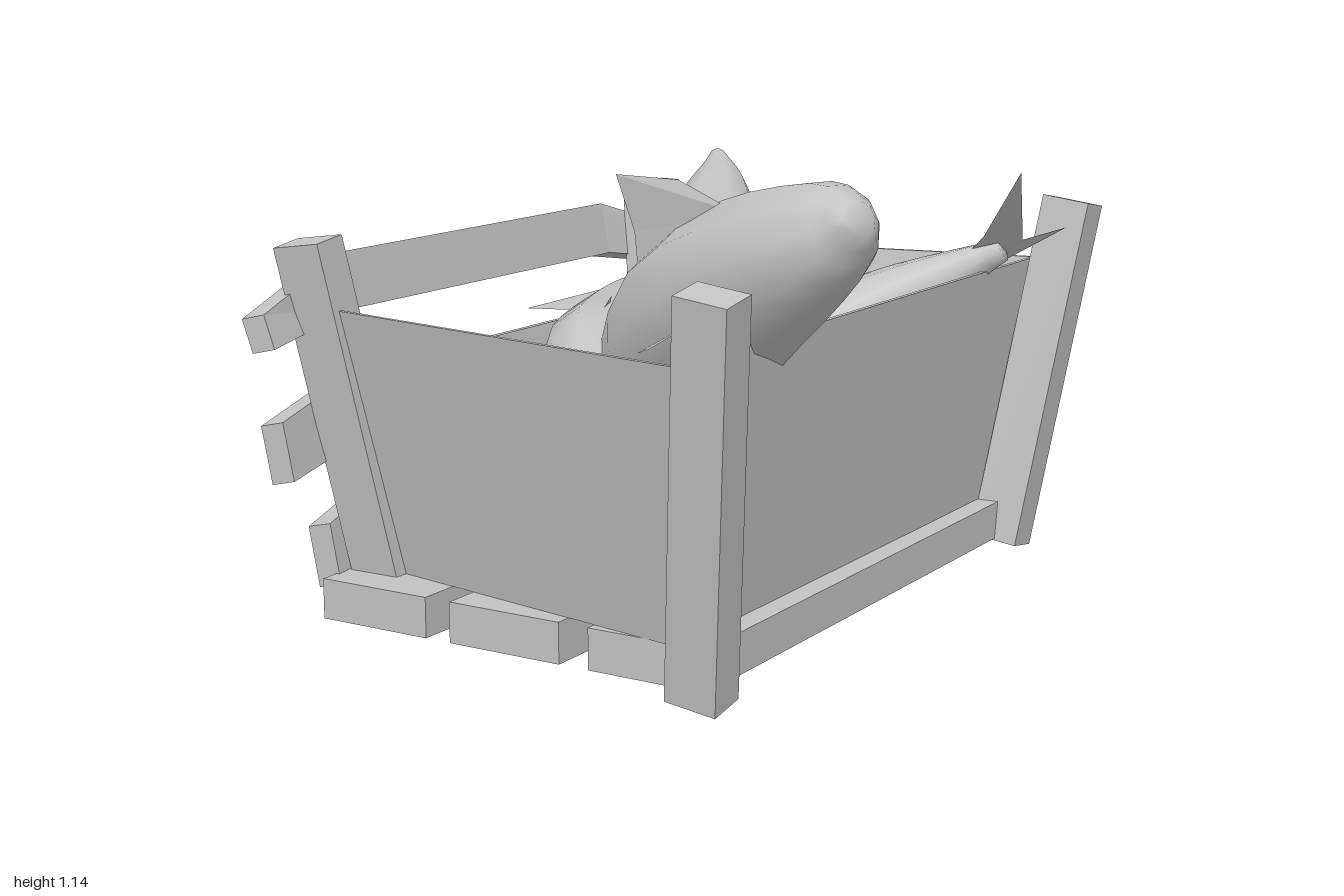
import * as THREE from 'three';

const V = (p) => new THREE.Vector3(p[0], p[1], p[2]);
const grey = new THREE.MeshStandardMaterial({ color: 0xc2c2c2, side: THREE.DoubleSide });
grey.name = 'plain grey';

function part(parent, name, geometry) {
  const mesh = new THREE.Mesh(geometry, grey);
  mesh.name = name;
  parent.add(mesh);
  return mesh;
}

// Skin a row of equal-sized rings and close both ends
function loft(rings, smooth) {
  const n = rings[0].length, last = (rings.length - 1) * n, index = [];
  for (let r = 0; r < rings.length - 1; r++) {
    for (let i = 0; i < n; i++) {
      const a = r * n + i, b = r * n + (i + 1) % n;
      index.push(a, b, b + n, a, b + n, a + n);
    }
  }
  for (let i = 1; i < n - 1; i++) index.push(0, i + 1, i, last, last + i, last + i + 1);
  let g = new THREE.BufferGeometry();
  g.setAttribute('position', new THREE.Float32BufferAttribute(rings.flat(2), 3));
  g.setIndex(index);
  if (!smooth) g = g.toNonIndexed();
  g.computeVertexNormals();
  return g;
}

const CORNERS = [[1, 1], [1, -1], [-1, -1], [-1, 1]];

// Leaning post, its ends cut square to its length
function post(bottom, top, w, d) {
  const h = top[1] - bottom[1];
  const lx = (top[0] - bottom[0]) / h, lz = (top[2] - bottom[2]) / h;
  return loft([bottom, top].map((c) => CORNERS.map(([sx, sz]) => {
    const dx = sx * w / 2, dz = sz * d / 2;
    return [c[0] + dx, c[1] - dx * lx - dz * lz, c[2] + dz];
  })));
}

// Bent rail running along z; stations are [x, y, z, height]
function rail(stations) {
  return loft(stations.map(([x, y, z, h]) =>
    [[1, -1], [1, 1], [-1, 1], [-1, -1]].map(([sx, sy]) =>
      [x + sx * 0.034 - sy * 0.015, y + sy * h / 2 + sx * 0.008, z])));
}

// Thin fin as a fan of points
function fin(points) {
  const index = [];
  for (let i = 1; i < points.length - 1; i++) index.push(0, i, i + 1);
  const g = new THREE.BufferGeometry();
  g.setAttribute('position', new THREE.Float32BufferAttribute(points.flat(), 3));
  g.setIndex(index);
  const flat = g.toNonIndexed();
  flat.computeVertexNormals();
  return flat;
}

// Fish body along stations [x, y, z, half height, half width], plus fins
function fish(parent, name, stations, fins) {
  const group = new THREE.Group();
  group.name = name;
  const spine = new THREE.CatmullRomCurve3(stations.map(V));
  const girth = new THREE.CatmullRomCurve3(stations.map((s) => new THREE.Vector3(s[3], s[4], 0)));
  const rings = [], steps = 16, sides = 10, up = new THREE.Vector3(0, 1, 0);
  for (let k = 0; k <= steps; k++) {
    const c = spine.getPoint(k / steps), t = spine.getTangent(k / steps);
    const g = girth.getPoint(k / steps);
    const side = up.clone().cross(t).normalize(), top = t.clone().cross(side);
    const ring = [];
    for (let i = 0; i < sides; i++) {
      const a = i / sides * Math.PI * 2;
      ring.push(c.clone().addScaledVector(side, Math.cos(a) * g.y)
        .addScaledVector(top, Math.sin(a) * g.x).toArray());
    }
    rings.push(ring);
  }
  part(group, 'fishBody', loft(rings, true));
  fins.forEach((points) => part(group, 'fishFin', fin(points)));
  parent.add(group);
}

export function createModel() {
  const model = new THREE.Group();
  model.name = 'crateOfFish';
  const crate = new THREE.Group();
  crate.name = 'crate';
  model.add(crate);

  // Floor slats, hollow and open underneath
  const slatShape = new THREE.BoxGeometry(0.31, 0.1, 1.56);
  const faces = Array.from(slatShape.index.array);
  faces.splice(18, 6);
  slatShape.setIndex(faces);
  slatShape.clearGroups();
  for (const x of [-0.445, -0.065, 0.325]) {
    part(crate, 'floorSlat', slatShape).position.set(x, 0.08, 0);
  }

  // Corner posts and end panels, mirrored front to back
  const t = 0.006;
  for (const s of [1, -1]) {
    part(crate, 'tallPost', post([0.475, 0.017, 0.79 * s], [0.595, 0.945, 0.945 * s], 0.13, 0.1));
    part(crate, 'railPost', post([-0.512, 0.055, 0.625 * s], [-0.637, 0.945, 0.755 * s], 0.135, 0.09));
    const edge = (y, xl, zl, xr, zr) => [[xr, y, zr * s + t], [xr, y, zr * s - t],
      [xl, y, zl * s - t], [xl, y, zl * s + t]];
    part(crate, 'endPanel', loft([edge(0.13, -0.47, 0.635, 0.41, 0.79),
      edge(0.785, -0.57, 0.745, 0.49, 0.93)]));
  }

  // Solid side panel
  const sideEdge = (y, x, z) => [[x + t, y, z], [x + t, y, -z], [x - t, y, -z], [x - t, y, z]];
  part(crate, 'sidePanel', loft([sideEdge(0.13, 0.415, 0.78), sideEdge(0.785, 0.492, 0.92)]));

  // Bent rails on the open side
  part(crate, 'topRail', rail([[-0.665, 0.735, -0.92, 0.09], [-0.735, 0.81, -0.61, 0.14],
    [-0.735, 0.81, 0.53, 0.14], [-0.67, 0.74, 0.9, 0.08]]));
  part(crate, 'middleRail', rail([[-0.65, 0.43, -0.88, 0.14], [-0.71, 0.5, -0.58, 0.16],
    [-0.71, 0.5, 0.53, 0.16], [-0.65, 0.45, 0.87, 0.14]]));
  part(crate, 'bottomRail', rail([[-0.635, 0.17, -0.73, 0.15], [-0.685, 0.21, -0.5, 0.16],
    [-0.685, 0.21, 0.48, 0.16], [-0.635, 0.17, 0.73, 0.15]]));

  // Large fish with its head over the front corner
  fish(model, 'largeFish', [[0.775, 1.08, 0.65, 0.04, 0.04], [0.71, 1.05, 0.61, 0.11, 0.1],
    [0.53, 0.96, 0.55, 0.17, 0.17], [0.27, 0.8, 0.41, 0.21, 0.22], [0.04, 0.54, 0.26, 0.16, 0.18],
    [-0.1, 0.36, 0.1, 0.09, 0.09], [-0.18, 0.25, 0.01, 0.05, 0.02]], [
    [[0.43, 1.06, 0.56], [0.25, 1.12, 0.52], [0.07, 1.12, 0.5], [0.12, 0.99, 0.5], [0.13, 0.89, 0.5],
      [0.05, 0.78, 0.48], [0.25, 0.8, 0.48]],
    [[0.3, 0.85, 0.24], [0.36, 0.8, 0.11], [0.55, 0.88, 0.41], [0.4, 0.87, 0.4]],
    [[0.16, 0.72, 0.56], [0.3, 0.77, 0.72], [0.56, 0.93, 0.69], [0.4, 0.82, 0.6]],
    [[-0.15, 0.28, 0.05], [-0.33, 0.3, 0.06], [-0.22, 0.2, -0.04], [-0.18, 0.16, -0.2]],
  ]);

  // Fish rising towards the back corner
  fish(model, 'risingFish', [[-0.445, 1.03, -0.81, 0.02, 0.02], [-0.4, 0.95, -0.74, 0.08, 0.08],
    [-0.32, 0.84, -0.58, 0.14, 0.14], [-0.21, 0.74, -0.4, 0.19, 0.18], [-0.03, 0.64, -0.23, 0.14, 0.14],
    [0.11, 0.64, -0.1, 0.07, 0.08], [0.19, 0.66, -0.04, 0.04, 0.04]], [
    [[0.25, 0.67, 0], [0.22, 0.62, 0.17], [0.13, 0.63, 0], [0.1, 0.65, -0.12], [0.24, 0.7, -0.1],
      [0.43, 0.74, -0.12]],
    [[-0.12, 0.8, -0.55], [0.01, 0.83, -0.65], [-0.04, 0.85, -0.5], [-0.07, 0.72, -0.38]],
    [[-0.36, 0.75, -0.55], [-0.48, 0.7, -0.56], [-0.42, 0.65, -0.32], [-0.3, 0.65, -0.4]],
  ]);

  // Fish with its forked tail over the back corner
  fish(model, 'tailUpFish', [[0.53, 0.84, -0.64, 0.03, 0.03], [0.45, 0.8, -0.62, 0.05, 0.05],
    [0.28, 0.7, -0.54, 0.1, 0.1], [0.09, 0.57, -0.42, 0.15, 0.14], [-0.12, 0.44, -0.26, 0.17, 0.16],
    [-0.32, 0.34, -0.1, 0.1, 0.1], [-0.42, 0.3, -0.02, 0.03, 0.03]], [
    [[0.58, 0.87, -0.65], [0.665, 1.07, -0.435], [0.5, 0.88, -0.58], [0.42, 0.81, -0.62],
      [0.5, 0.8, -0.7], [0.61, 0.88, -0.87]],
  ]);

  // Smaller fish lying towards the front
  fish(model, 'upperSmallFish', [[-0.3, 0.74, -0.2, 0.03, 0.04], [-0.27, 0.72, -0.07, 0.06, 0.06],
    [-0.21, 0.68, 0.1, 0.1, 0.11], [-0.12, 0.63, 0.3, 0.14, 0.14], [-0.03, 0.6, 0.46, 0.09, 0.09],
    [0, 0.59, 0.52, 0.03, 0.03]], [
    [[-0.27, 0.72, -0.06], [-0.42, 0.68, -0.07], [-0.63, 0.66, -0.12], [-0.43, 0.72, -0.18],
      [-0.3, 0.76, -0.24], [-0.14, 0.79, -0.18], [0.01, 0.83, -0.22], [-0.14, 0.76, -0.1]],
    [[-0.15, 0.75, 0.2], [-0.11, 0.79, 0.25], [-0.1, 0.72, 0.36]],
  ]);
  fish(model, 'lowerSmallFish', [[-0.33, 0.45, 0.02, 0.04, 0.03], [-0.26, 0.45, 0.17, 0.09, 0.08],
    [-0.16, 0.43, 0.36, 0.15, 0.14], [-0.02, 0.4, 0.53, 0.12, 0.12], [0.09, 0.4, 0.64, 0.04, 0.04]], [
    [[-0.25, 0.45, 0.3], [-0.42, 0.48, 0.23], [-0.36, 0.42, 0.38], [-0.22, 0.42, 0.45]],
    [[-0.31, 0.45, 0.06], [-0.44, 0.5, -0.02], [-0.34, 0.45, 0], [-0.22, 0.42, -0.08]],
  ]);

  // Fish at the bottom, a fin poking between the slats
  fish(model, 'bottomFish', [[0.2, 0.5, -0.48, 0.03, 0.03], [0.25, 0.47, -0.38, 0.11, 0.11],
    [0.27, 0.4, -0.2, 0.15, 0.13], [0.27, 0.31, 0, 0.11, 0.09], [0.24, 0.22, 0.14, 0.05, 0.04],
    [0.2, 0.17, 0.22, 0.03, 0.02]], [
    [[0.21, 0.18, 0.2], [0.1, 0.16, 0.3], [0.2, 0.15, 0.25], [0.3, 0.2, 0.32]],
    [[0.2, 0.3, -0.1], [0.15, 0.1, -0.02], [0.165, 0.01, -0.17], [0.1, 0.07, -0.24], [0.2, 0.32, -0.25]],
  ]);

  return model;
}
